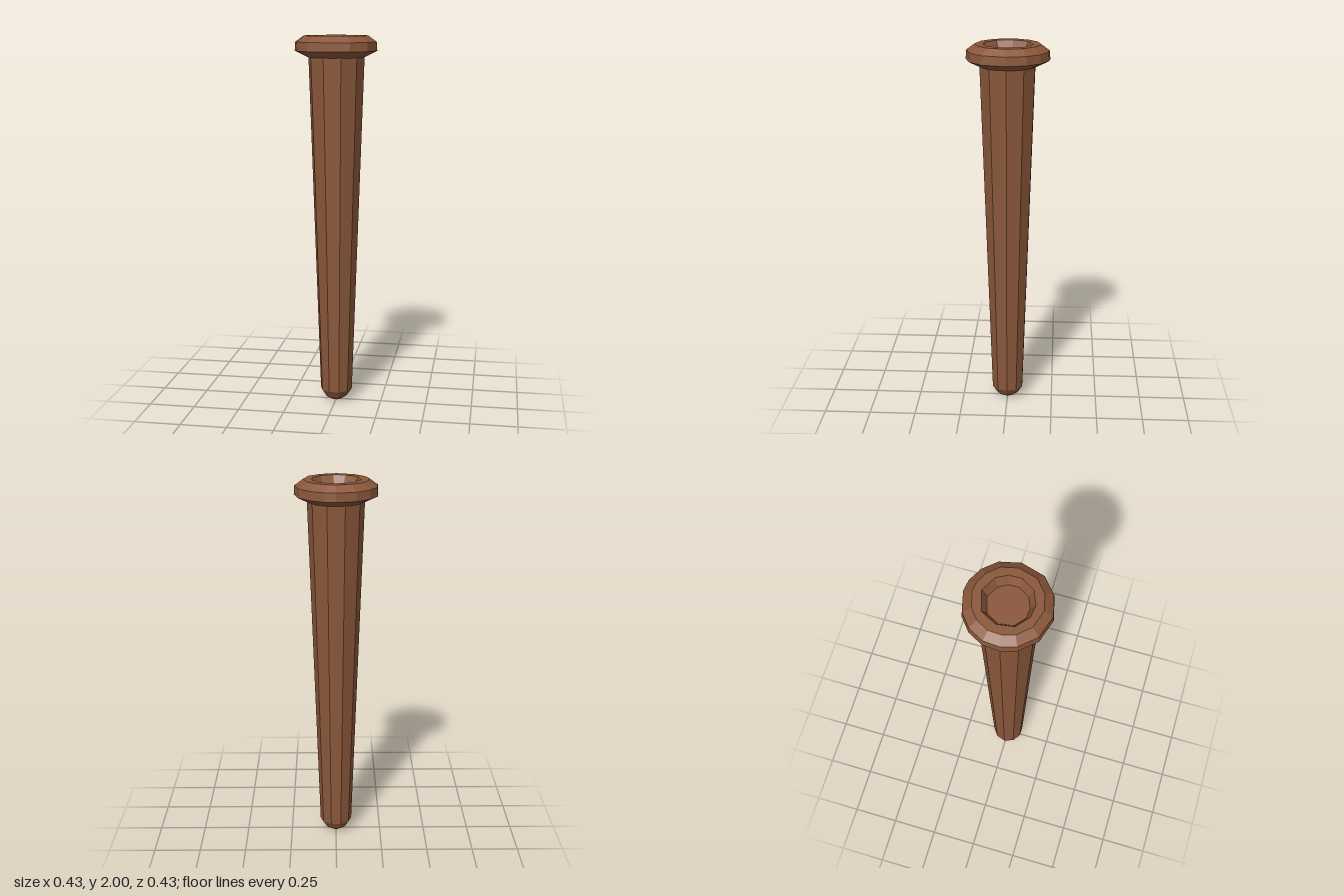
import * as THREE from 'three';

const wood = new THREE.MeshStandardMaterial({ color: 0x8a573a, flatShading: true });

// Hand-cut outlines as [x, z], seen from above
const rim = [[0, -0.218], [0.06, -0.21], [0.13, -0.172], [0.19, -0.105], [0.215, 0], [0.18, 0.122], [0.1, 0.19],
  [-0.005, 0.216], [-0.122, 0.18], [-0.195, 0.1], [-0.217, 0.025], [-0.212, -0.06], [-0.17, -0.138], [-0.103, -0.192]];
const hollow = [[0.015, -0.13], [0.09, -0.09], [0.12, -0.035], [0.122, 0.03], [0.08, 0.097], [0.012, 0.125],
  [-0.05, 0.118], [-0.114, 0.065], [-0.127, -0.022], [-0.085, -0.102]];

// Joins scaled copies of an outline; levels are [height, scale] from top to bottom
function loft(outline, levels) {
  const pos = [], n = outline.length;
  const point = ([y, s], i) => [outline[i % n][0] * s, y, outline[i % n][1] * s];
  for (let k = 0; k < levels.length - 1; k++) {
    for (let i = 0; i < n; i++) {
      const a = point(levels[k], i), b = point(levels[k], i + 1);
      const c = point(levels[k + 1], i), d = point(levels[k + 1], i + 1);
      pos.push(...a, ...b, ...c, ...b, ...d, ...c);
    }
  }
  const g = new THREE.BufferGeometry();
  g.setAttribute('position', new THREE.Float32BufferAttribute(pos, 3));
  g.computeVertexNormals();
  return g;
}

// Flat, upward-facing polygon at height y, with an optional hole
function flat(outline, scale, y, hole) {
  const toPoints = (o, s) => o.map(([x, z]) => new THREE.Vector2(x * s, -z * s));
  const shape = new THREE.Shape(toPoints(outline, scale));
  if (hole) shape.holes.push(new THREE.Path(toPoints(hole, 1)));
  return new THREE.ShapeGeometry(shape).rotateX(-Math.PI / 2).translate(0, y, 0);
}

export function createModel() {
  const group = new THREE.Group();
  const add = (name, geometry) => {
    const mesh = new THREE.Mesh(geometry, wood);
    mesh.name = name;
    group.add(mesh);
  };

  // Tapered shaft with a blunt rounded tip
  const profile = [[0, 0.004], [0.028, 0.008], [0.06, 0.028], [0.087, 0.07], [0.149, 1.9]]
    .map(([r, y]) => new THREE.Vector2(r, y));
  add('shaft', new THREE.LatheGeometry(profile, 10, Math.PI / 10).translate(0, -0.004, 0));

  // Flared collar, chamfered above and below
  add('collar', loft(rim, [[2, 0.78], [1.968, 0.985], [1.922, 1], [1.888, 0.68]]));
  add('collarTop', flat(rim, 0.78, 2, hollow));

  // Shallow recess in the top
  const wall = loft(hollow.slice().reverse(), [[2, 1], [1.95, 0.8]]);
  add('recessWall', wall);
  add('recessFloor', flat(hollow, 0.8, 1.95));

  return group;
}
